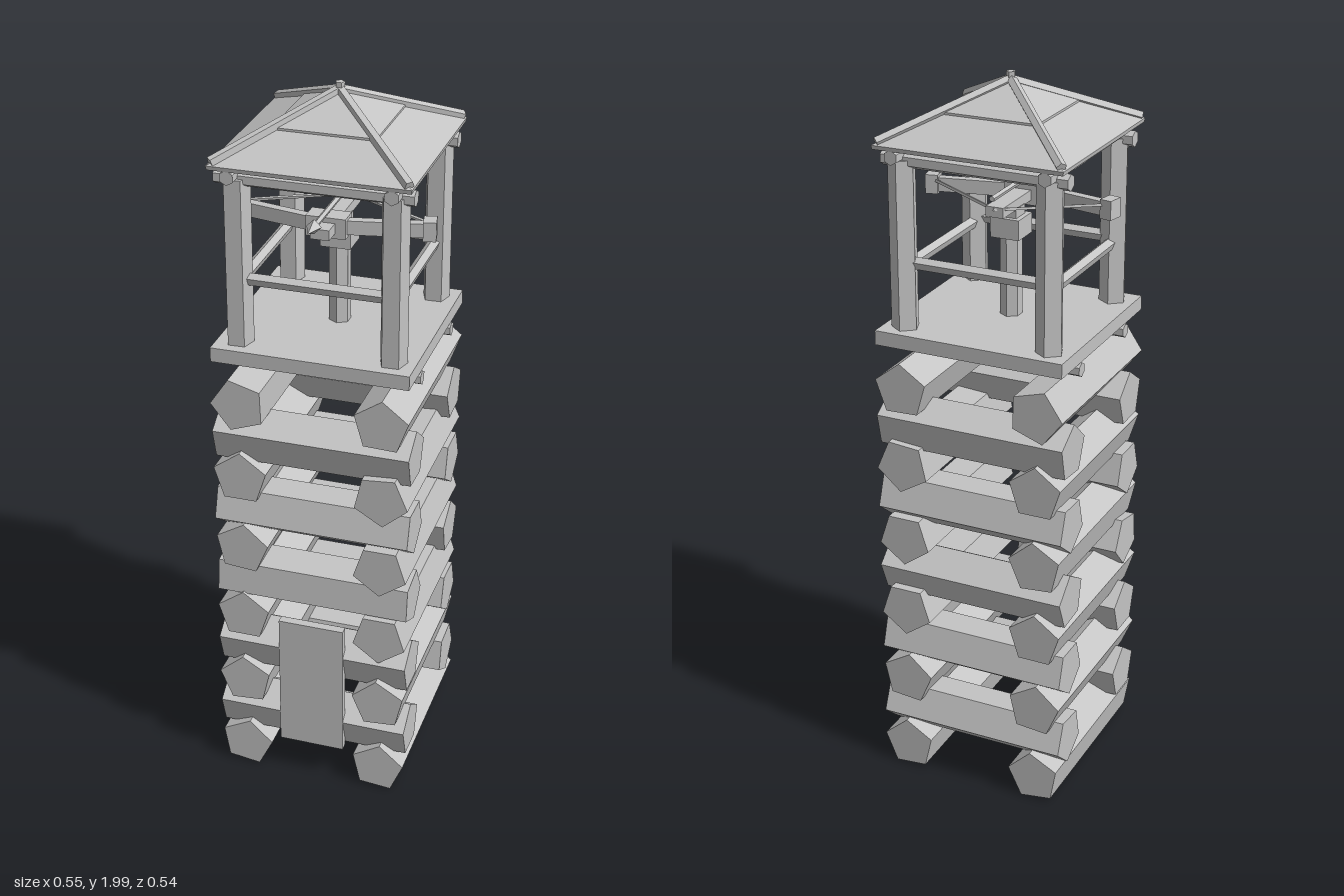
import * as THREE from 'three';

const wood = new THREE.MeshStandardMaterial({ color: 0xc4c4c4, flatShading: true });
wood.name = 'weatheredWood';

export function createModel() {
  const model = new THREE.Group();
  model.name = 'logWatchtower';

  function add(parent, name, geometry, x = 0, y = 0, z = 0) {
    const mesh = new THREE.Mesh(geometry, wood);
    mesh.name = name;
    mesh.position.set(x, y, z);
    parent.add(mesh);
    return mesh;
  }
  function group(name) {
    const g = new THREE.Group();
    g.name = name;
    model.add(g);
    return g;
  }
  // Faceted log along an axis; angle places one corner of its end, in degrees
  function log(axis, r, length, sides = 5, angle = 90) {
    const start = THREE.MathUtils.degToRad(angle + 90);
    const g = new THREE.CylinderGeometry(r, r, length, sides, 1, false, start);
    if (axis !== 'y') g.rotateX(Math.PI / 2);
    if (axis === 'x') g.rotateY(Math.PI / 2);
    return g;
  }
  // Straight pole between two points
  function pole(parent, name, a, b, r, sides = 5) {
    const from = new THREE.Vector3(...a), dir = new THREE.Vector3(...b).sub(from);
    const m = add(parent, name, new THREE.CylinderGeometry(r, r, dir.length(), sides));
    m.position.copy(from).addScaledVector(dir, 0.5);
    m.quaternion.setFromUnitVectors(new THREE.Vector3(0, 1, 0), dir.normalize());
  }
  const box = (w, h, d) => new THREE.BoxGeometry(w, h, d);

  // Stacked log base, alternating direction
  const base = group('logBase');
  const alongZ = [[82, 85], [95, 95], [90, 270], [85, 270], [90, 275], [110, 88]];
  const alongX = [[90, 275], [90, 270], [65, 85], [270, 272], [88, 95]];
  alongZ.forEach(([left, right], i) => {
    const y = 0.08 + i * 0.221;
    add(base, 'lengthwiseLog', log('z', 0.077, 0.54, 5, left), -0.195, y, 0);
    add(base, 'lengthwiseLog', log('z', 0.077, 0.54, 5, right), 0.195, y, 0);
  });
  alongX.forEach(([front, back], i) => {
    const y = 0.19 + i * 0.22;
    add(base, 'crosswiseLog', log('x', 0.077, 0.54, 5, front), 0, y, 0.195);
    add(base, 'crosswiseLog', log('x', 0.077, 0.54, 5, back), 0, y, -0.195);
  });
  add(base, 'door', box(0.185, 0.405, 0.025), 0, 0.322, 0.2565);

  // Lookout floor on two bearers
  const lookout = group('lookout');
  for (const z of [0.15, -0.145]) add(lookout, 'floorBearer', log('x', 0.02, 0.54, 6), 0, 1.284, z);
  add(lookout, 'floor', box(0.535, 0.04, 0.535), 0, 1.324, 0);

  // Corner posts, railings and roof beams
  for (const s of [-1, 1]) {
    for (const t of [-1, 1]) add(lookout, 'cornerPost', log('y', 0.038, 0.46, 5, 20), s * 0.207, 1.572, t * 0.207);
    add(lookout, 'sideRailing', log('z', 0.017, 0.38), s * 0.205, 1.512, 0);
    add(lookout, 'endRailing', log('x', 0.017, 0.38), 0, 1.525, s * 0.205);
    add(lookout, 'crossBeam', log('x', 0.022, 0.52, 6), 0, 1.8, s * 0.207);
    add(lookout, 'sideBeam', log('z', 0.02, 0.52, 6), s * 0.212, 1.815, 0);
  }

  // Four-sided roof in two overlapping tiers, open below
  const roof = group('roof');
  function tier(name, points) {
    const profile = points.map(([half, y]) => new THREE.Vector2(half * Math.SQRT2, y));
    const g = new THREE.LatheGeometry(profile, 4, Math.PI / 4);
    add(roof, name, g);
  }
  tier('lowerRoof', [[0, 1.96], [0.262, 1.832], [0.264, 1.843], [0.13, 1.909]]);
  tier('upperRoof', [[0.13, 1.9], [0.136, 1.901], [0.136, 1.912], [0, 1.98]]);
  for (const s of [-1, 1]) {
    for (const t of [-1, 1]) pole(roof, 'hipPole', [s * 0.255, 1.85, t * 0.255], [0, 1.979, 0], 0.014);
  }
  add(roof, 'roofPeak', log('y', 0.013, 0.04), 0, 1.98, 0);

  // Mounted giant crossbow
  const bow = group('mountedCrossbow');
  add(bow, 'pedestal', log('y', 0.03, 0.23, 6), 0, 1.455, 0);
  add(bow, 'swivelBlock', box(0.082, 0.055, 0.082), 0, 1.592, 0);
  add(bow, 'swivelNeck', box(0.055, 0.03, 0.055), 0, 1.63, 0);
  add(bow, 'stock', box(0.05, 0.028, 0.27), 0, 1.655, 0.035);
  add(bow, 'bowClamp', box(0.106, 0.055, 0.055), 0, 1.655, 0.095);
  for (const s of [-1, 1]) {
    const limb = add(bow, 'bowLimb', box(0.24, 0.038, 0.025), s * 0.148, 1.655, 0.076);
    limb.rotation.y = s * 0.2;
    const tip = add(bow, 'limbTip', box(0.034, 0.052, 0.045), s * 0.256, 1.657, 0.055);
    tip.rotation.y = s * 0.2;
    pole(bow, 'bowString', [s * 0.25, 1.668, 0.045], [0, 1.662, -0.1], 0.005, 4);
  }
  add(bow, 'boltShaft', log('z', 0.008, 0.33, 5), 0, 1.695, 0.05);
  const head = new THREE.ConeGeometry(0.02, 0.05, 4).rotateX(Math.PI / 2);
  add(bow, 'boltHead', head, 0, 1.695, 0.237);

  return model;
}
